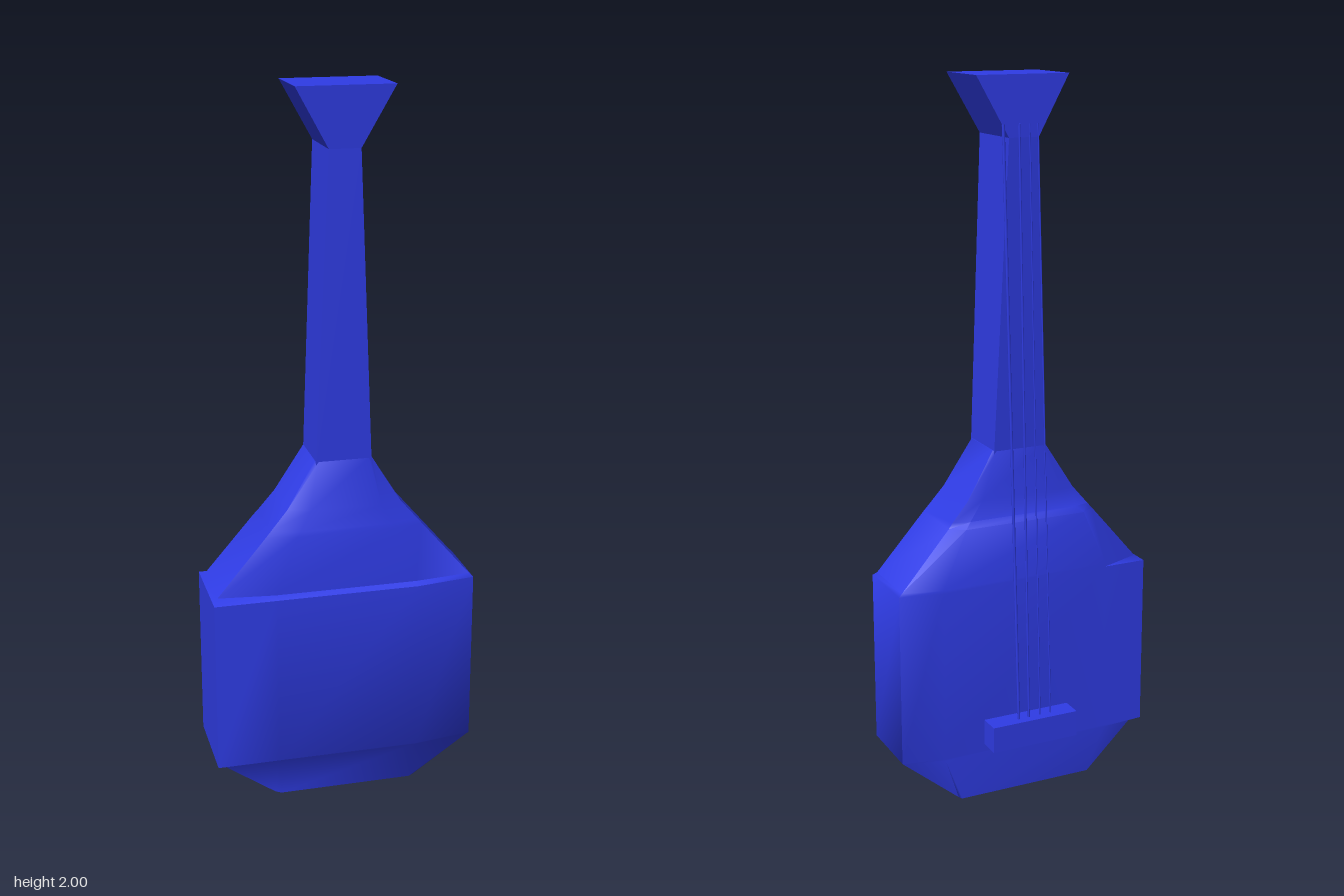
import * as THREE from 'three';
import { toCreasedNormals } from 'three/addons/utils/BufferGeometryUtils.js';

const blue = new THREE.MeshStandardMaterial({ color: 0x2f3ce6 });

// Skin a stack of rings (each a list of [x, y, z], front to left to back) and cap both ends
function loft(rings, crease) {
  const n = rings[0].length;
  const index = [];
  for (let r = 0; r < rings.length - 1; r++) {
    for (let i = 0; i < n; i++) {
      const a = r * n + i, b = r * n + (i + 1) % n;
      index.push(a, b, b + n, a, b + n, a + n);
    }
  }
  const top = (rings.length - 1) * n;
  for (let i = 1; i < n - 1; i++) {
    index.push(0, i + 1, i);
    index.push(top, top + i, top + i + 1);
  }
  const geometry = new THREE.BufferGeometry();
  geometry.setAttribute('position', new THREE.Float32BufferAttribute(rings.flat(2), 3));
  geometry.setIndex(index);
  return toCreasedNormals(geometry, crease);
}

// Eight-sided body ring; a plate ring squares off the -x side
function bodyRing([y, xf, zf, xs, zsf, zsb, xb, zb, plate]) {
  const xr = plate ? -0.375 : -xs;
  return [
    [-xf, zf], [xf, zf], [xs, zsf], [xs, zsb],
    [xb, zb], [-xb, zb], [xr, plate ? zb : zsb], [xr, plate ? zf : zsf],
  ].map(([x, z]) => [x, y === 0 && z > 0 ? 0.015 : y, z]);
}

// Four-sided ring for the neck and head
const boxRing = (y, x, zf, zb) => [[-x, y, zf], [x, y, zf], [x, y, zb], [-x, y, zb]];

export function createModel() {
  const model = new THREE.Group();
  const add = (name, geometry) => {
    const mesh = new THREE.Mesh(geometry, blue);
    mesh.name = name;
    model.add(mesh);
    return mesh;
  };

  // Body: y, front half width and z, side half width and z range, back half width and z, plate
  add('body', loft([
    [0, 0.19, 0.13, 0.205, 0.12, -0.08, 0.2, -0.092],
    [0.13, 0.2, 0.15, 0.365, 0.127, -0.067, 0.25, -0.095],
    [0.135, 0.2, 0.155, 0.37, 0.13, -0.07, 0.25, -0.095, true],
    [0.628, 0.2, 0.155, 0.37, 0.13, -0.07, 0.25, -0.095, true],
    [0.637, 0.2, 0.138, 0.36, 0.12, -0.066, 0.25, -0.094],
    [0.8, 0.14, 0.135, 0.22, 0.112, -0.065, 0.18, -0.092],
    [0.815, 0.13, 0.133, 0.207, 0.11, -0.062, 0.16, -0.075],
    [0.87, 0.1, 0.125, 0.16, 0.105, -0.06, 0.12, -0.068],
    [1, 0.07, 0.1, 0.08, 0.092, -0.048, 0.07, -0.053],
  ].map(bodyRing), 0.9));

  // Neck and flared head
  add('neck', loft([boxRing(0.99, 0.078, 0.1, -0.053), boxRing(1.84, 0.043, 0.107, -0.075)], 0.1));
  add('head', loft([boxRing(1.84, 0.043, 0.107, -0.075), boxRing(2, 0.133, 0.118, -0.07)], 0.1));

  // Bridge on the back face
  add('bridge', new THREE.BoxGeometry(0.26, 0.075, 0.065)).position.set(0, 0.193, -0.124);

  // Strings from bridge to head: bottom x, top x, radius
  const up = new THREE.Vector3(0, 1, 0);
  [[-0.06, -0.04, 0.002], [-0.026, -0.016, 0.002], [0.009, 0.014, 0.003], [0.04, 0.06, 0.004]]
    .forEach(([x0, x1, radius], i) => {
      const from = new THREE.Vector3(x0, 0.18, -0.133);
      const to = new THREE.Vector3(x1, 1.875, -0.076);
      const along = to.clone().sub(from);
      const string = add('string' + (i + 1), new THREE.CylinderGeometry(radius, radius, along.length(), 6));
      string.position.copy(from).add(to).multiplyScalar(0.5);
      string.quaternion.setFromUnitVectors(up, along.normalize());
    });

  return model;
}
